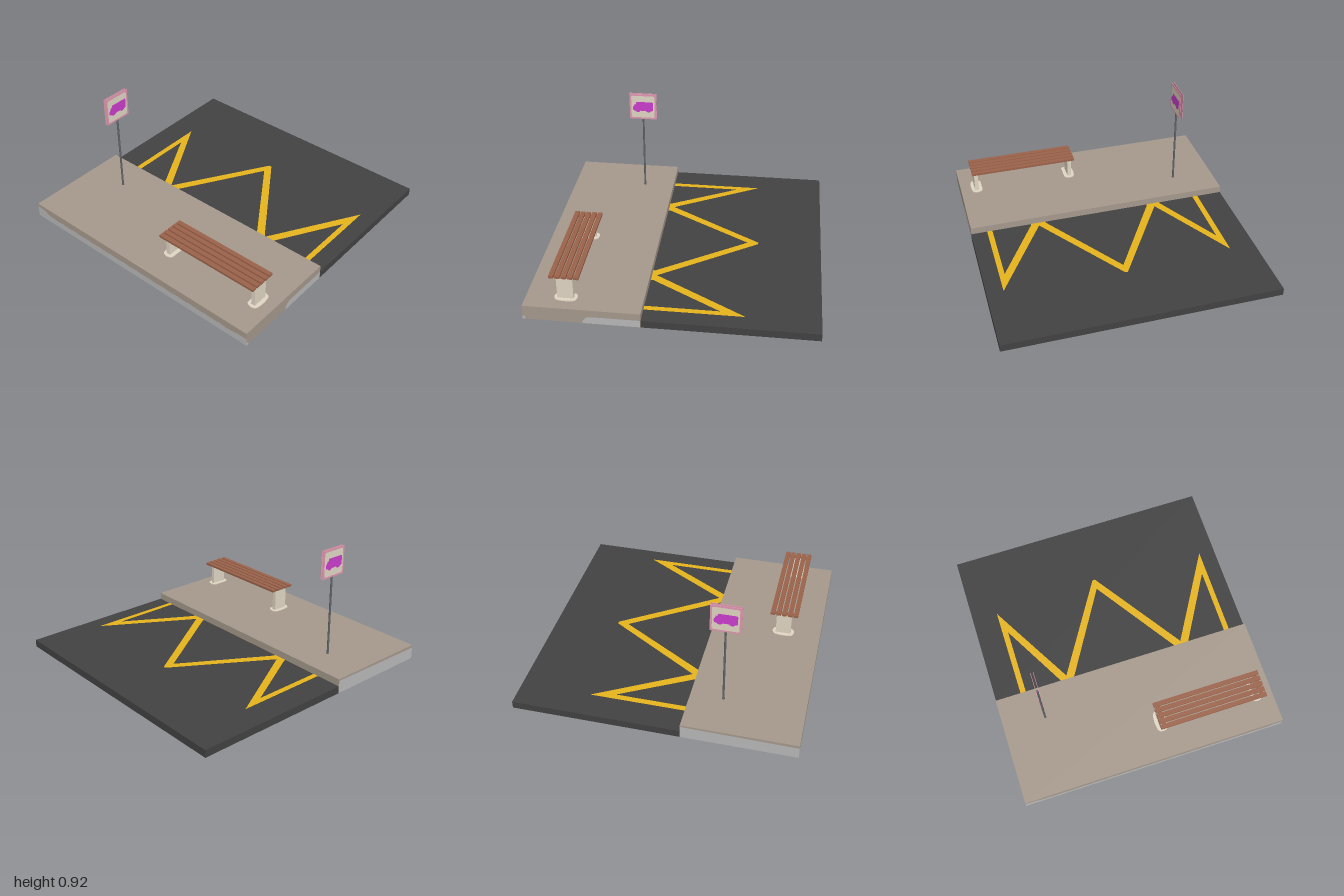
import * as THREE from 'three';

const mat = (name, color) => Object.assign(new THREE.MeshStandardMaterial({ color }), { name });

export function createModel() {
  const asphalt = mat('asphalt', 0x424242);
  const underside = mat('undersideGrey', 0x969696);
  const paving = mat('paving', 0xa6998c);
  const concrete = mat('concrete', 0xb8b8b8);
  const yellow = mat('yellowPaint', 0xe6b41c);
  const wood = mat('wood', 0x9b624a);
  const stone = mat('paleStone', 0xe0d6c3);
  const pink = mat('signPink', 0xdf98b0);
  const magenta = mat('signMagenta', 0xcb3ecd);
  const steel = mat('steel', 0x606468);

  const model = new THREE.Group();
  model.name = 'busStop';
  const add = (parent, name, geometry, material, x = 0, y = 0, z = 0) => {
    const mesh = new THREE.Mesh(geometry, material);
    mesh.name = name;
    mesh.position.set(x, y, z);
    parent.add(mesh);
    return mesh;
  };
  const box = (parent, name, material, w, h, d, x, y, z) =>
    add(parent, name, new THREE.BoxGeometry(w, h, d), material, x, y, z);
  const poly = (pts) => new THREE.Shape(pts.map(([x, y]) => new THREE.Vector2(x, y)));
  const slabMaterials = (m) => [m, m, m, underside, m, m];

  // Road and raised pavement with a grey underside
  box(model, 'road', slabMaterials(asphalt), 2, 0.055, 1.196, 0, 0.0275, -0.402);
  box(model, 'pavement', slabMaterials(paving), 1.998, 0.108, 0.803, 0, 0.054, 0.5975);

  // Wavy concrete face along the front
  const front = new THREE.Shape();
  front.moveTo(-1, 0);
  front.lineTo(1, 0);
  front.lineTo(1, 0.062);
  front.lineTo(0.93, 0.06);
  const waves = 14;
  for (let i = 0; i < waves; i++) {
    const x = 0.9 - (i * 1.75) / waves;
    front.lineTo(x, 0.056);
    front.quadraticCurveTo(x - 0.06, 0.046, x - 1.75 / waves, 0.056);
  }
  front.quadraticCurveTo(-0.9, 0.056, -0.91, 0.078);
  front.lineTo(-1, 0.086);
  add(model, 'frontConcrete', new THREE.ShapeGeometry(front), concrete, 0, 0, 1);

  // Concrete faces on both ends
  const end = new THREE.Shape();
  end.moveTo(-0.59, 0);
  end.lineTo(-0.2, 0);
  end.lineTo(-0.2, 0.055);
  end.lineTo(-0.53, 0.055);
  end.quadraticCurveTo(-0.585, 0.053, -0.59, 0);
  add(model, 'leftEndConcrete', new THREE.ShapeGeometry(end), concrete, 1).rotation.y = Math.PI / 2;
  const corner = poly([[-1, 0], [-0.975, 0], [-0.985, 0.02], [-1, 0.033]]);
  add(model, 'leftCornerConcrete', new THREE.ShapeGeometry(corner), concrete, 1).rotation.y = Math.PI / 2;
  const far = poly([[0.2, 0], [1, 0], [1, 0.086], [0.2, 0.095]]);
  add(model, 'rightEndConcrete', new THREE.ShapeGeometry(far), concrete, -1).rotation.y = -Math.PI / 2;

  // Zigzag road marking, outlined as (x, -z)
  const zigzag = poly([
    [-0.807, -0.195], [-0.765, -0.195], [-0.765, 0.32], [-0.487, -0.18], [-0.487, -0.195], [-0.38, -0.195],
    [-0.38, -0.18], [0.002, 0.455], [0.43, -0.18], [0.43, -0.195], [0.545, -0.195], [0.545, -0.18],
    [0.84, 0.32], [0.84, -0.195], [0.88, -0.195], [0.88, 0.495], [0.487, -0.16], [0.012, 0.535],
    [-0.008, 0.535], [-0.435, -0.155], [-0.807, 0.495],
  ]);
  add(model, 'zigzagMarking', new THREE.ShapeGeometry(zigzag), yellow, 0, 0.057).rotation.x = -Math.PI / 2;

  // Sign on its pole
  const sign = new THREE.Group();
  sign.name = 'sign';
  sign.position.set(-0.681, 0, 0.428);
  model.add(sign);
  add(sign, 'pole', new THREE.CylinderGeometry(0.0075, 0.0075, 0.712, 16), steel, 0, 0.464);
  add(sign, 'poleBase', new THREE.CylinderGeometry(0.01, 0.01, 0.005, 16), steel, 0, 0.1105);

  // Bus silhouette: short bonnet, tall body, two wheels
  const bus = new THREE.Shape();
  bus.moveTo(-0.08, -0.022);
  bus.lineTo(-0.078, 0);
  bus.lineTo(-0.07, 0.008);
  bus.lineTo(-0.066, 0.022);
  bus.lineTo(-0.06, 0.022);
  bus.lineTo(-0.058, 0.012);
  bus.lineTo(-0.053, 0.036);
  bus.quadraticCurveTo(-0.05, 0.041, -0.045, 0.041);
  bus.lineTo(0.07, 0.041);
  bus.quadraticCurveTo(0.08, 0.04, 0.08, 0.028);
  bus.lineTo(0.08, -0.025);
  bus.quadraticCurveTo(0.078, -0.034, 0.066, -0.034);
  for (const x of [0.043, -0.04]) {
    bus.lineTo(x + 0.02, -0.034);
    bus.quadraticCurveTo(x + 0.014, -0.046, x, -0.046);
    bus.quadraticCurveTo(x - 0.014, -0.046, x - 0.02, -0.034);
  }
  bus.lineTo(-0.075, -0.032);

  // Round-cornered panel inside the pink border
  const panel = new THREE.Shape();
  const half = 0.091, inner = 0.076;
  panel.moveTo(-inner, -half);
  panel.lineTo(inner, -half);
  panel.quadraticCurveTo(half, -half, half, -inner);
  panel.lineTo(half, inner);
  panel.quadraticCurveTo(half, half, inner, half);
  panel.lineTo(-inner, half);
  panel.quadraticCurveTo(-half, half, -half, inner);
  panel.lineTo(-half, -inner);
  panel.quadraticCurveTo(-half, -half, -inner, -half);
  for (const side of [1, -1]) {
    const face = new THREE.Group();
    face.name = side > 0 ? 'leftSignFace' : 'rightSignFace';
    face.position.set(side * 0.0095, 0.815, 0);
    face.rotation.y = (side * Math.PI) / 2;
    sign.add(face);
    box(face, 'signBorder', pink, 0.21, 0.21, 0.003, 0, 0, 0);
    add(face, 'signPanel', new THREE.ShapeGeometry(panel), stone, 0, 0, 0.0025);
    add(face, 'busSymbol', new THREE.ShapeGeometry(bus), magenta, 0, 0, 0.004);
  }

  // Bench
  const bench = new THREE.Group();
  bench.name = 'bench';
  bench.position.set(0.499, 0, 0.724);
  model.add(bench);
  for (let i = -2; i <= 2; i++) {
    box(bench, 'slat', wood, 0.816, 0.017, 0.033, 0, 0.2915, i * 0.0428);
  }

  // Upright legs on rounded feet, bowed outward at each end
  const footShape = new THREE.Shape();
  footShape.moveTo(-0.043, -0.05);
  footShape.quadraticCurveTo(-0.04, -0.078, 0, -0.08);
  footShape.quadraticCurveTo(0.034, -0.078, 0.038, -0.05);
  footShape.quadraticCurveTo(0.048, 0, 0.038, 0.05);
  footShape.quadraticCurveTo(0.034, 0.078, 0, 0.08);
  footShape.quadraticCurveTo(-0.04, 0.078, -0.043, 0.05);
  const footGeometry = new THREE.ExtrudeGeometry(footShape, { depth: 0.007, bevelEnabled: false, curveSegments: 8 });
  footGeometry.rotateX(-Math.PI / 2);
  for (const side of [1, -1]) {
    const support = new THREE.Group();
    support.name = side > 0 ? 'leftSupport' : 'rightSupport';
    support.position.x = side * 0.376;
    support.rotation.y = side > 0 ? 0 : Math.PI;
    bench.add(support);
    box(support, 'leg', stone, 0.03, 0.17, 0.112, 0, 0.197, 0);
    add(support, 'foot', footGeometry, stone, 0, 0.107);
    box(support, 'slatBracket', wood, 0.03, 0.006, 0.17, 0, 0.283, 0);
  }
  return model;
}
